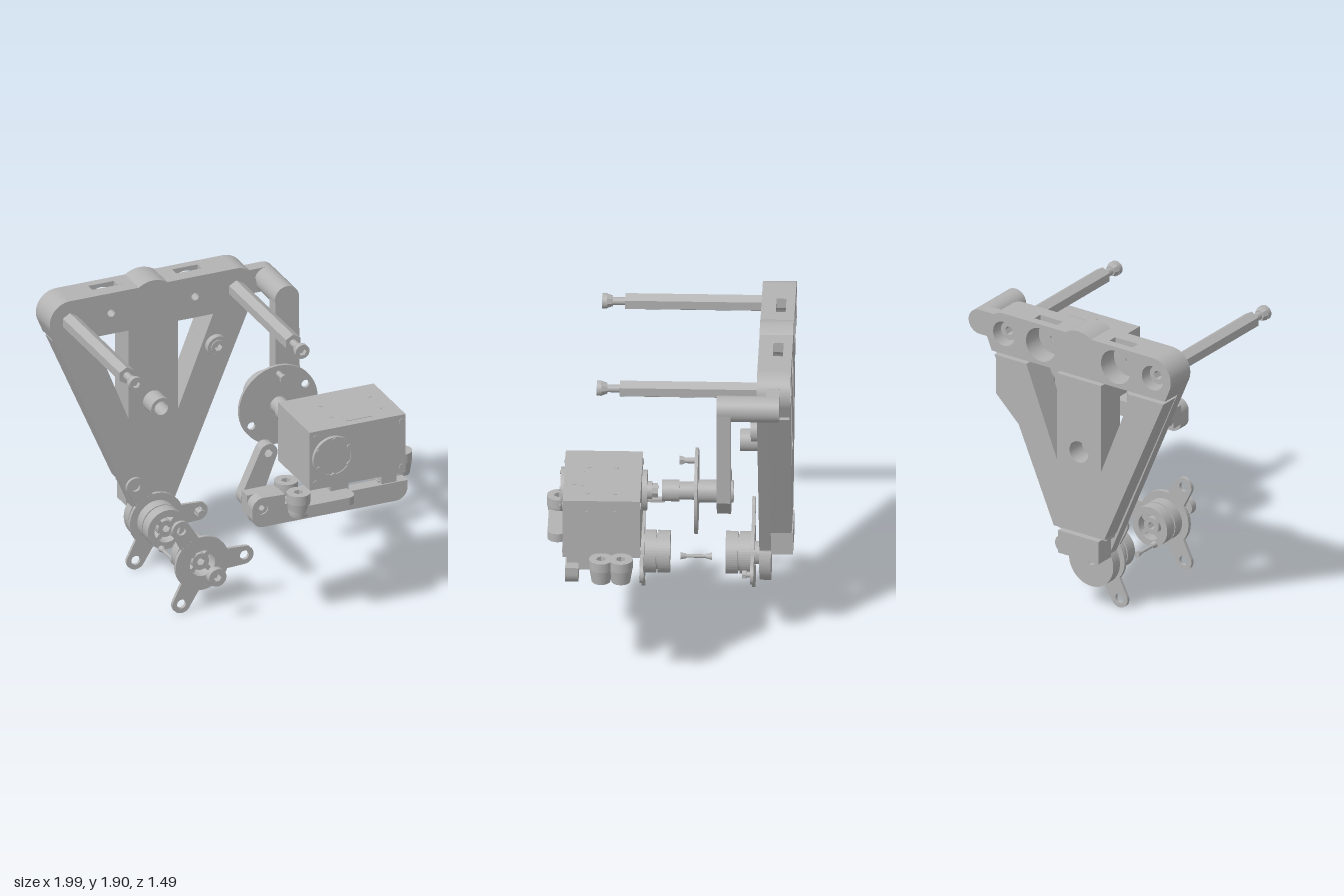
import * as THREE from 'three';

export function createModel() {
  const model = new THREE.Group();
  const grey = new THREE.MeshStandardMaterial({ color: 0xb3b3b3 });
  grey.name = 'machine grey';

  const add = (name, geometry, x = 0, y = 0, z = 0) => {
    const mesh = new THREE.Mesh(geometry, grey);
    mesh.name = name;
    mesh.position.set(x, y, z);
    model.add(mesh);
    return mesh;
  };
  // Box from its limits
  const box = (name, x0, x1, y0, y1, z0, z1) =>
    add(name, new THREE.BoxGeometry(x1 - x0, y1 - y0, z1 - z0), (x0 + x1) / 2, (y0 + y1) / 2, (z0 + z1) / 2);
  // Flat shape in the xy plane, extruded between two depths
  const slab = (name, shape, z0, z1) =>
    add(name, new THREE.ExtrudeGeometry(shape, { depth: z1 - z0, bevelEnabled: false, curveSegments: 24 }), 0, 0, z0);
  // Cylinder along z (r0 at z0, r1 at z1), flat sided when it has few sides
  const rod = (name, x, y, r0, r1, z0, z1, sides = 36) => {
    let g = new THREE.CylinderGeometry(r1, r0, z1 - z0, sides);
    if (sides < 12) {
      g = g.toNonIndexed();
      g.computeVertexNormals();
    }
    return add(name, g.rotateX(Math.PI / 2), x, y, (z0 + z1) / 2);
  };
  const hole = (x, y, r) => new THREE.Path().absarc(x, y, r, 0, Math.PI * 2, false);
  const hexHole = (x, y, r) => new THREE.Path(Array.from({ length: 6 }, (_, i) =>
    new THREE.Vector2(x + r * Math.cos(i * Math.PI / 3), y + r * Math.sin(i * Math.PI / 3))));
  const disc = (x, y, r) => new THREE.Shape().absarc(x, y, r, 0, Math.PI * 2, false);
  const ring = (name, x, y, r, inner, z0, z1, hex = false) => {
    const s = disc(x, y, r);
    s.holes.push(hex ? hexHole(x, y, inner) : hole(x, y, inner));
    return slab(name, s, z0, z1);
  };
  // Outline wrapped around two circles
  const link = (x1, y1, r1, x2, y2, r2) => {
    const a = Math.atan2(y2 - y1, x2 - x1), o = Math.acos((r1 - r2) / Math.hypot(x2 - x1, y2 - y1));
    const s = new THREE.Shape();
    s.absarc(x2, y2, r2, a - o, a + o, false);
    s.absarc(x1, y1, r1, a + o, a - o + Math.PI * 2, false);
    s.closePath();
    return s;
  };
  const points = pts => pts.map(p => new THREE.Vector2(...p));

  // ---- Main triangular bracket ----
  const cx = -0.306, topY = 1.735, ends = [cx - 0.555, cx + 0.555], pockets = [cx - 0.28, cx + 0.28];
  const topOutline = (s, notched) => {
    // Slot running from the top edge into a round pocket
    const notch = x => {
      s.lineTo(x + 0.085, 1.87);
      s.absarc(x, topY, 0.11, 0.69, Math.PI - 0.69, true);
      s.lineTo(x - 0.085, 1.87);
    };
    s.absarc(ends[1], topY, 0.135, -0.4, Math.PI / 2, false);
    if (notched) notch(pockets[1]);
    s.absarc(cx, topY, 0.165, 0.956, Math.PI - 0.956, false);
    if (notched) notch(pockets[0]);
    s.absarc(ends[0], topY, 0.135, Math.PI / 2, Math.PI + 0.4, false);
  };
  const window = k => new THREE.Path(points([[0.4, 1.595], [0.165, 1.595], [0.165, 1.0]].map(p => [cx + k * p[0], p[1]])));
  const front = new THREE.Shape();
  topOutline(front, false);
  front.lineTo(cx - 0.14, 0.4);
  front.absarc(cx, 0.31, 0.165, Math.PI - 0.55, Math.PI * 2 + 0.55, false);
  front.lineTo(cx + 0.14, 0.4);
  front.closePath();
  front.holes.push(window(1), window(-1), hole(cx, 1.09, 0.045), hole(cx, 0.31, 0.025));
  ends.forEach(x => front.holes.push(hole(x, topY, 0.025)));
  pockets.forEach(x => front.holes.push(hole(x, topY, 0.025)));
  slab('bracket front plate', front, -0.61, -0.54);

  // Rear body below the top bar: two side limbs and a centre strip around the windows
  const rear = new THREE.Shape(points([[cx - 0.63, 1.575], [cx - 0.188, 0.55], [cx + 0.188, 0.55], [cx + 0.63, 1.575],
    [cx + 0.392, 1.575], [cx + 0.165, 1.0], [cx + 0.165, 1.575], [cx - 0.165, 1.575], [cx - 0.165, 1.0], [cx - 0.392, 1.575]]));
  rear.holes.push(hole(cx, 1.09, 0.07));
  slab('bracket rear body', rear, -0.738, -0.61);
  box('bracket foot block', cx - 0.15, cx + 0.15, 0.38, 0.53, -0.745, -0.61);
  box('bracket foot groove', cx - 0.18, cx + 0.18, 0.525, 0.56, -0.7, -0.61);

  // Top bar walls with two round pockets; the middle layer opens the slots
  [[-0.63, -0.61, false], [-0.69, -0.63, true], [-0.745, -0.69, false]].forEach(([z0, z1, notched]) => {
    const s = new THREE.Shape();
    topOutline(s, notched);
    s.lineTo(cx - 0.645, 1.6);
    s.lineTo(cx + 0.645, 1.6);
    s.closePath();
    ends.forEach(x => s.holes.push(hole(x, topY, 0.08)));
    if (!notched) pockets.forEach(x => s.holes.push(hole(x, topY, 0.11)));
    slab('top bar wall', s, z0, z1);
  });
  ends.forEach(x => ring('recessed nut', x, topY, 0.06, 0.03, -0.69, -0.61, true));
  ring('centre boss', cx, 1.09, 0.068, 0.045, -0.54, -0.42);
  ring('side boss', 0.11, 1.385, 0.07, 0.048, -0.545, -0.5);
  ring('side boss nut', 0.11, 1.385, 0.046, 0.025, -0.545, -0.495, true);

  // ---- Long standoff rods ----
  ends.forEach(x => {
    rod('standoff rod', x, topY, 0.055, 0.055, -0.56, 0.295, 6);
    rod('standoff neck', x, topY, 0.024, 0.024, 0.295, 0.38, 16);
    rod('standoff tip', x, topY, 0.034, 0.046, 0.37, 0.405, 8);
    ring('standoff tip rim', x, topY, 0.046, 0.025, 0.405, 0.435, true);
  });

  // ---- Hanging side arm with an offset round eye ----
  const mx = 0.36, my = 1.095;
  rod('arm pivot', 0.478, 1.73, 0.08, 0.08, -0.68, -0.3);
  box('arm pivot web', 0.36, 0.475, 1.65, 1.81, -0.68, -0.6);
  const arm = new THREE.Shape();
  arm.moveTo(0.4, 1.73);
  arm.lineTo(0.4, 1.23);
  arm.absarc(mx, my, 0.14, 1.28, Math.PI * 2 - 1.28, false);
  arm.lineTo(0.565, 1.12);
  arm.lineTo(0.557, 1.73);
  arm.absarc(0.478, 1.73, 0.079, 0, Math.PI, false);
  slab('side arm', arm, -0.385, -0.3);

  // ---- Drive shaft and disc ----
  ring('arm hub nut', mx, my, 0.068, 0.035, -0.4, -0.38, true);
  rod('disc hub', mx, my, 0.07, 0.07, -0.3, -0.185);
  const wheel = disc(mx, my, 0.262);
  wheel.holes.push(hole(0.18, 0.985, 0.026), hole(0.54, 1.2, 0.026));
  slab('drive disc', wheel, -0.185, -0.165);
  rod('drive shaft', mx, my, 0.055, 0.055, -0.165, -0.07);
  ring('shaft coupling', mx, my, 0.066, 0.03, -0.07, 0.035);
  rod('disc pin', mx, 1.305, 0.018, 0.018, -0.165, -0.09, 12);
  rod('disc pin head', mx, 1.305, 0.025, 0.032, -0.1, -0.07, 6);

  // ---- Motor ----
  box('motor body', 0.21, 0.85, 0.89, 1.28, 0.155, 0.625);
  ring('motor front cover', mx, my, 0.135, 0.115, 0.62, 0.65);
  rod('motor cover face', mx, my, 0.118, 0.118, 0.62, 0.643);
  rod('motor rear collar', mx, my, 0.125, 0.125, 0.125, 0.157);
  rod('motor shaft step', mx, my, 0.055, 0.055, 0.095, 0.13);
  rod('motor shaft', mx, my, 0.045, 0.045, 0.06, 0.1, 8);
  box('motor wire tab', 0.3, 0.34, 1.0, 1.02, 0.02, 0.16);
  for (let i = 0; i < 6; i++) {
    const a = i * Math.PI / 3 + 0.5;
    rod('cover screw', mx + 0.118 * Math.cos(a), my + 0.118 * Math.sin(a), 0.014, 0.014, 0.64, 0.656, 8);
  }
  [0.25, 0.825].forEach(x => [0.93, 1.235].forEach(y => {
    rod('motor corner screw', x, y, 0.022, 0.022, 0.62, 0.63, 6);
    rod('motor rear corner screw', x, y, 0.022, 0.022, 0.15, 0.157, 6);
  }));
  [0.31, 0.48].forEach(z => {
    [0.42, 0.75].forEach(x => add('motor top plug', new THREE.CylinderGeometry(0.014, 0.014, 0.01, 8), x, 1.278, z));
    [0.98, 1.2].forEach(y => box('motor side plug', 0.845, 0.853, y - 0.01, y + 0.01, z - 0.01, z + 0.01));
  });
  box('motor label plate', 0.48, 0.65, 1.275, 1.283, 0.505, 0.57);

  // ---- Motor mount ----
  const beam = new THREE.Shape();
  beam.moveTo(-0.165, 0.77);
  beam.absarc(-0.095, 0.77, 0.07, Math.PI, Math.PI * 1.5, false);
  beam.absarc(0.79, 0.78, 0.08, -Math.PI / 2, 0, false);
  beam.lineTo(0.87, 0.825);
  beam.lineTo(0.05, 0.825);
  beam.lineTo(0.05, 0.89);
  beam.absarc(-0.095, 0.825, 0.07, Math.PI / 2, Math.PI, false);
  beam.holes.push(hole(-0.1, 0.825, 0.04));
  slab('mount beam', beam, 0.53, 0.61);
  const lever = link(-0.1, 0.83, 0.07, 0.015, 1.105, 0.06);
  lever.holes.push(hexHole(0.015, 1.105, 0.028), hole(-0.1, 0.825, 0.03));
  slab('mount lever', lever, 0.375, 0.45);
  const pivot = new THREE.Shape(points([[-0.165, 0.76], [0.06, 0.76], [0.06, 0.89], [-0.165, 0.89]]));
  pivot.holes.push(hole(-0.1, 0.825, 0.04));
  slab('mount pivot block', pivot, 0.45, 0.53);
  ring('mount pivot nut', -0.1, 0.825, 0.041, 0.02, 0.54, 0.6, true);
  // Flat feet under the motor
  const foot = slab('mount front foot', link(0.11, -0.67, 0.06, 0.42, -0.67, 0.06), 0, 0.055);
  foot.rotation.x = -Math.PI / 2;
  foot.position.y = 0.79;
  box('mount front foot web', 0.07, 0.47, 0.79, 0.845, 0.45, 0.67);
  box('mount side foot', 0.69, 0.92, 0.78, 0.835, 0.23, 0.43);
  box('mount cross rail', 0.69, 0.8, 0.78, 0.835, 0.4, 0.57);
  box('motor pad', 0.36, 0.48, 0.82, 0.892, 0.25, 0.6);
  box('motor pad', 0.7, 0.8, 0.82, 0.892, 0.25, 0.6);
  [[0.115, 0.485], [0.115, 0.67], [0.92, 0.27], [0.92, 0.39]].forEach(([x, z]) => {
    add('mount foot boss', new THREE.CylinderGeometry(0.072, 0.058, 0.09, 24), x, 0.815, z);
    const cap = ring('mount foot cap', 0, 0, 0.073, 0.03, 0, 0.06, true);
    cap.rotation.x = -Math.PI / 2;
    cap.position.set(x, 0.86, z);
  });

  // ---- Three-armed flanges with grooved hubs ----
  const hubY = 0.31, bore = 0.085, tips = [[-0.445, 0.555], [-0.445, 0.062], [-0.025, 0.31]];
  const flange = (z0, z1, dir) => {
    const span = (a, b) => {
      const base = dir > 0 ? z1 : z0;
      return [base + dir * a, base + dir * b].sort((p, q) => p - q);
    };
    ring('flange disc', cx, hubY, 0.178, bore, z0, z1);
    tips.forEach(([x, y]) => {
      // Arm starts outside the hub bore
      const s = link(cx + (x - cx) * 0.56, hubY + (y - hubY) * 0.56, 0.066, x, y, 0.06);
      s.holes.push(hole(x, y, 0.03));
      slab('flange arm', s, z0 + 0.001, z1 - 0.001);
    });
    ring('hub inner drum', cx, hubY, 0.13, bore, ...span(0, 0.07));
    ring('hub groove', cx, hubY, 0.11, bore, ...span(0.07, 0.08));
    ring('hub outer drum', cx, hubY, 0.13, bore, ...span(0.08, 0.155));
    ring('hub nut', cx, hubY, 0.055, 0.025, ...span(0, 0.14), true);
    // Ribs joining the nut to the drum
    for (let i = 0; i < 4; i++) {
      const t = i * Math.PI / 2 + Math.PI / 4;
      const rib = box('hub rib', -0.025, 0.025, -0.015, 0.015, ...span(0.005, 0.145));
      rib.position.x = cx + 0.07 * Math.cos(t);
      rib.position.y = hubY + 0.07 * Math.sin(t);
      rib.rotation.z = t;
    }
  };
  flange(-0.51, -0.488, 1);
  flange(0.16, 0.185, -1);
  ring('flange spacer', cx, hubY, 0.07, 0.025, -0.54, -0.5);
  rod('flange screw', -0.025, hubY, 0.018, 0.018, -0.51, -0.46, 12);
  rod('flange screw head', -0.025, hubY, 0.028, 0.028, -0.465, -0.44, 6);
  ring('axle end nut', cx, hubY, 0.058, 0.025, 0.365, 0.41, true);

  // ---- Small linking pin ----
  rod('link pin', -0.385, 0.237, 0.011, 0.011, -0.24, -0.06, 12);
  rod('link pin head', -0.385, 0.237, 0.022, 0.014, -0.245, -0.21, 12);
  rod('link pin head', -0.385, 0.237, 0.014, 0.022, -0.09, -0.055, 12);

  return model;
}
